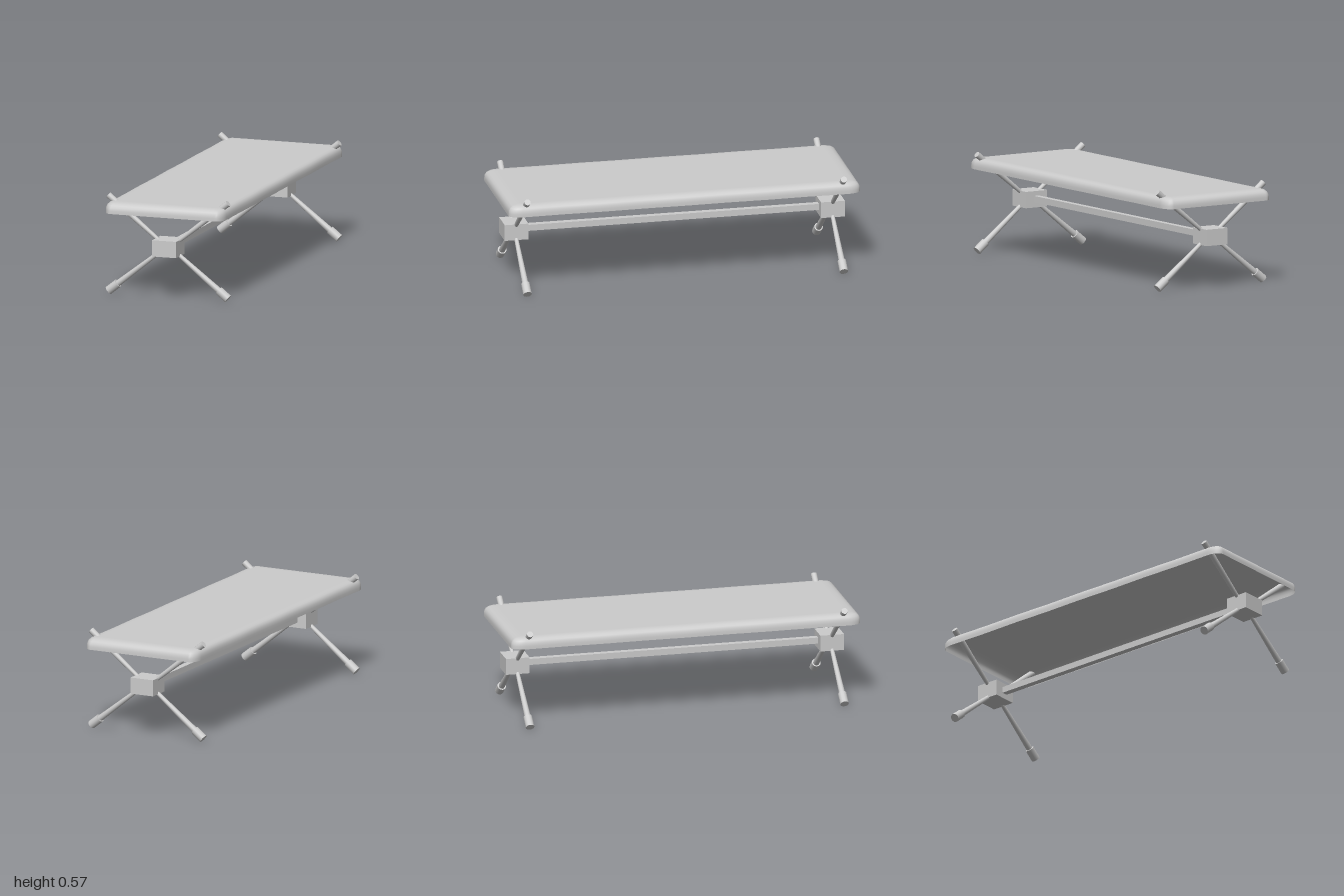
import * as THREE from 'three';

const grey = new THREE.MeshStandardMaterial({ color: 0xcccccc });
const cloth = new THREE.MeshStandardMaterial({ color: 0xcccccc, side: THREE.DoubleSide });

// tapered rod between two points of the leg plane
function rod(name, from, to, r0, r1, sides = 12) {
  const a = new THREE.Vector3(...from), b = new THREE.Vector3(...to);
  const mesh = new THREE.Mesh(new THREE.CylinderGeometry(r1, r0, a.distanceTo(b), sides), grey);
  mesh.position.copy(a).lerp(b, 0.5);
  mesh.quaternion.setFromUnitVectors(new THREE.Vector3(0, 1, 0), b.sub(a).normalize());
  mesh.name = name;
  return mesh;
}

// closed rounded outline of the cloth, inset from its edge
function outline(inset) {
  const W = 0.353, L = 1, rx = 0.045, rz = 0.075, pts = [];
  const iz = inset * 1.3, steps = 6, sideSteps = 16;
  const ax = Math.max(rx - inset * 0.6, 0.01), az = Math.max(rz - iz * 0.6, 0.01);
  const cx = W - inset - ax, cz = L - iz - az;
  const corner = (sx, sz, start) => {
    for (let i = 0; i <= steps; i++) {
      const t = start + (i / steps) * Math.PI / 2;
      pts.push([sx * cx + ax * Math.cos(t), sz * cz + az * Math.sin(t)]);
    }
  };
  // long sides pull in very slightly between the fixing points
  const side = (s) => {
    for (let i = 1; i < sideSteps; i++) {
      const u = i / sideSteps;
      const wave = 0.003 * Math.sin(u * Math.PI * 4) ** 2;
      pts.push([s * (W - inset - wave), s * cz * (2 * u - 1)]);
    }
  };
  corner(1, 1, 0);
  corner(-1, 1, Math.PI / 2);
  side(-1);
  corner(-1, -1, Math.PI);
  corner(1, -1, Math.PI * 1.5);
  side(1);
  return pts;
}

// open sheet with a hanging rim, lofted from inset outlines
function sheetGeometry() {
  const rings = [[0, 0.473], [0, 0.49], [0.002, 0.506], [0.008, 0.519], [0.018, 0.528], [0.032, 0.533], [0.05, 0.535], [0.06, 0.535]];
  const pos = [], index = [];
  let n = 0;
  for (const [inset, y] of rings) {
    const pts = outline(inset);
    n = pts.length;
    for (const [x, z] of pts) pos.push(x, y, z);
  }
  for (let r = 0; r < rings.length - 1; r++) {
    for (let i = 0; i < n; i++) {
      const a = r * n + i, b = r * n + (i + 1) % n;
      index.push(a, a + n, b, b, a + n, b + n);
    }
  }
  const last = (rings.length - 1) * n, centre = pos.length / 3;
  pos.push(0, 0.535, 0);
  for (let i = 0; i < n; i++) index.push(last + i, centre, last + (i + 1) % n);
  const g = new THREE.BufferGeometry();
  g.setAttribute('position', new THREE.Float32BufferAttribute(pos, 3));
  g.setIndex(index);
  g.computeVertexNormals();
  return g;
}

export function createModel() {
  const model = new THREE.Group();
  model.name = 'campCot';

  const sheet = new THREE.Mesh(sheetGeometry(), cloth);
  sheet.name = 'clothSheet';
  model.add(sheet);

  // crossed leg set at each end
  for (const z of [0.9, -0.9]) {
    const set = new THREE.Group();
    set.name = z > 0 ? 'frontLegSet' : 'backLegSet';
    set.position.z = z;
    const hub = new THREE.Mesh(new THREE.BoxGeometry(0.142, 0.092, 0.135), grey);
    hub.name = 'hub';
    hub.position.y = 0.289;
    set.add(hub);
    for (const s of [1, -1]) {
      set.add(rod('upperLeg', [s * 0.04, 0.311, 0], [s * 0.354, 0.56, 0], 0.011, 0.018));
      set.add(rod('lowerLeg', [s * 0.04, 0.266, 0], [s * 0.31, 0.053, 0], 0.011, 0.018));
      set.add(rod('foot', [s * 0.298, 0.063, 0], [s * 0.353, 0.019, 0], 0.0245, 0.0245));
    }
    model.add(set);
  }

  // long bar joining the hubs
  const bar = new THREE.Mesh(new THREE.BoxGeometry(0.035, 0.035, 1.7), grey);
  bar.name = 'stretcherBar';
  bar.position.y = 0.291;
  model.add(bar);

  return model;
}
